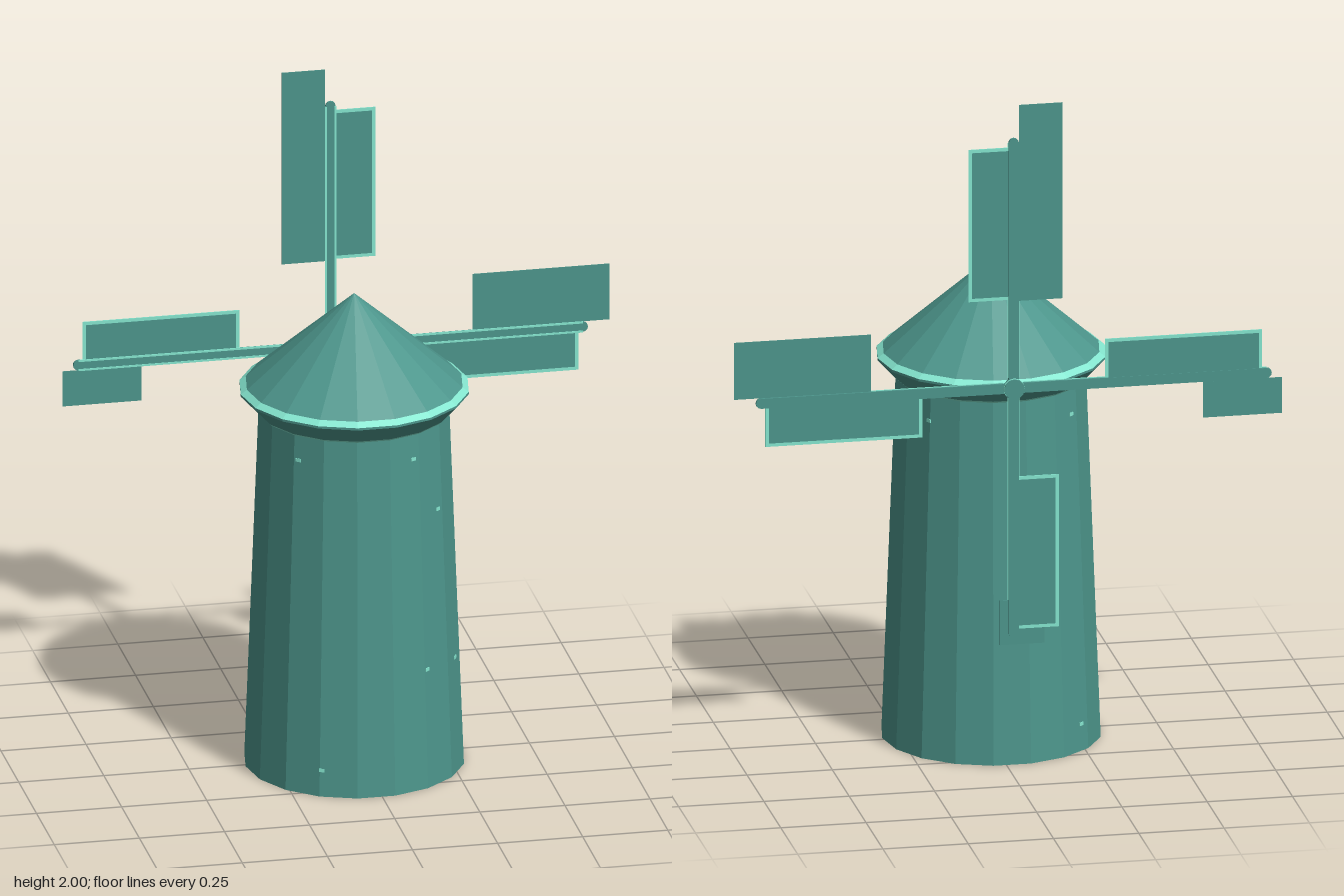
import * as THREE from 'three';

const main = new THREE.MeshStandardMaterial({ color: 0x4d968c, flatShading: true });
main.name = 'teal';
const trim = new THREE.MeshStandardMaterial({ color: 0x86e8d1, flatShading: true });
trim.name = 'pale teal';

const SIDES = 18, CX = -0.017, CZ = 0.011;
const HUB_Y = 1.145, SAIL_Z = -0.323;
const TOWER_H = 1.09, R_BASE = 0.319, R_TOP = 0.277;

function add(parent, name, geometry, material) {
  const mesh = new THREE.Mesh(geometry, material);
  mesh.name = name;
  parent.add(mesh);
  return mesh;
}

// Faceted ring between two radii and heights, with corners on the x axis
function ring(rBottom, rTop, y0, y1, open = true) {
  return new THREE.CylinderGeometry(rTop, rBottom, y1 - y0, SIDES, 1, open, Math.PI / SIDES)
    .translate(0, (y0 + y1) / 2, 0);
}

// Flat plate given by its edges, in the frame of an upright arm
function plate(x0, x1, y0, y1, depth, z = 0) {
  return new THREE.BoxGeometry(x1 - x0, y1 - y0, depth)
    .translate((x0 + x1) / 2, (y0 + y1) / 2, z);
}

// Small disc facing front and back
function disc(radius, depth, y = 0, z = 0) {
  return new THREE.CylinderGeometry(radius, radius, depth, 12)
    .rotateX(Math.PI / 2).translate(0, y, z);
}

// Pale worn chip lying on one facet of the tower; angle in degrees from the front
function chip(angle, y) {
  const facet = Math.round(angle / 20) * 20;
  const rad = THREE.MathUtils.degToRad;
  const r = THREE.MathUtils.lerp(R_BASE, R_TOP, y / TOWER_H) * Math.cos(Math.PI / SIDES);
  return new THREE.BoxGeometry(0.016, 0.01, 0.004)
    .translate(r * Math.tan(rad(angle - facet)), y, r)
    .rotateY(rad(facet));
}

export function createModel() {
  const model = new THREE.Group();
  model.name = 'windmill';

  // Tower and conical cap
  const body = new THREE.Group();
  body.name = 'body';
  body.position.set(CX, 0, CZ);
  model.add(body);
  add(body, 'tower', ring(R_BASE, R_TOP, 0, TOWER_H, false), main);
  add(body, 'eaveLowerEdge', ring(0.277, 0.283, 1.083, 1.089), trim);
  add(body, 'eaveUnderside', ring(0.283, 0.333, 1.089, 1.143), main);
  add(body, 'eaveEdge', ring(0.333, 0.333, 1.143, 1.15), main);
  add(body, 'eaveRim', ring(0.333, 0.315, 1.15, 1.163), trim);
  add(body, 'roof', ring(0.315, 0, 1.163, 1.437), main);

  // Worn chips: angle, height
  const chips = [[-47, 1.01], [26, 1.01], [46, 0.83], [32, 0.36], [-29, 0.08],
    [103, 1.01], [129, 1.01], [62, 0.345], [-135, 1.01], [-135, 0.08]];
  chips.forEach(([angle, y]) => add(body, 'chip', chip(angle, y), trim));

  // Rotor behind the tower
  const rotor = new THREE.Group();
  rotor.name = 'rotor';
  rotor.position.set(CX, HUB_Y, SAIL_Z);
  model.add(rotor);
  add(rotor, 'hub', disc(0.03, 0.02, 0, -0.005), main);
  add(rotor, 'hubRim', disc(0.031, 0.005, 0, -0.008), trim);

  // Outer boards differ on each arm: x0, x1, y0, y1, going up, left, down, right
  const boards = [
    [-0.143, -0.016, 0.263, 0.855],
    [-0.124, -0.016, 0.555, 0.787],
    [-0.042, 0.09, 0.64, 0.775],
    [-0.188, -0.016, 0.418, 0.82],
  ];
  boards.forEach((b, i) => {
    const arm = new THREE.Group();
    arm.name = 'arm' + (i + 1);
    arm.rotation.z = i * Math.PI / 2;
    rotor.add(arm);
    add(arm, 'spar', plate(-0.015, 0.015, 0, 0.741, 0.008), main);
    add(arm, 'sparTip', disc(0.015, 0.008, 0.741), main);
    // Pale edges along the front of the spar
    for (const side of [-1, 1]) {
      add(arm, 'sparEdge', plate(side * 0.014 - 0.003, side * 0.014 + 0.003, 0.03, 0.741, 0.003, 0.004), trim);
    }
    // Sail cloth with a narrow pale border
    add(arm, 'sailBorder', plate(0.014, 0.132, 0.268, 0.728, 0.003), trim);
    add(arm, 'sail', plate(0.014, 0.122, 0.278, 0.718, 0.005), main);
    add(arm, 'board', plate(...b, 0.002), main);
  });
  return model;
}
